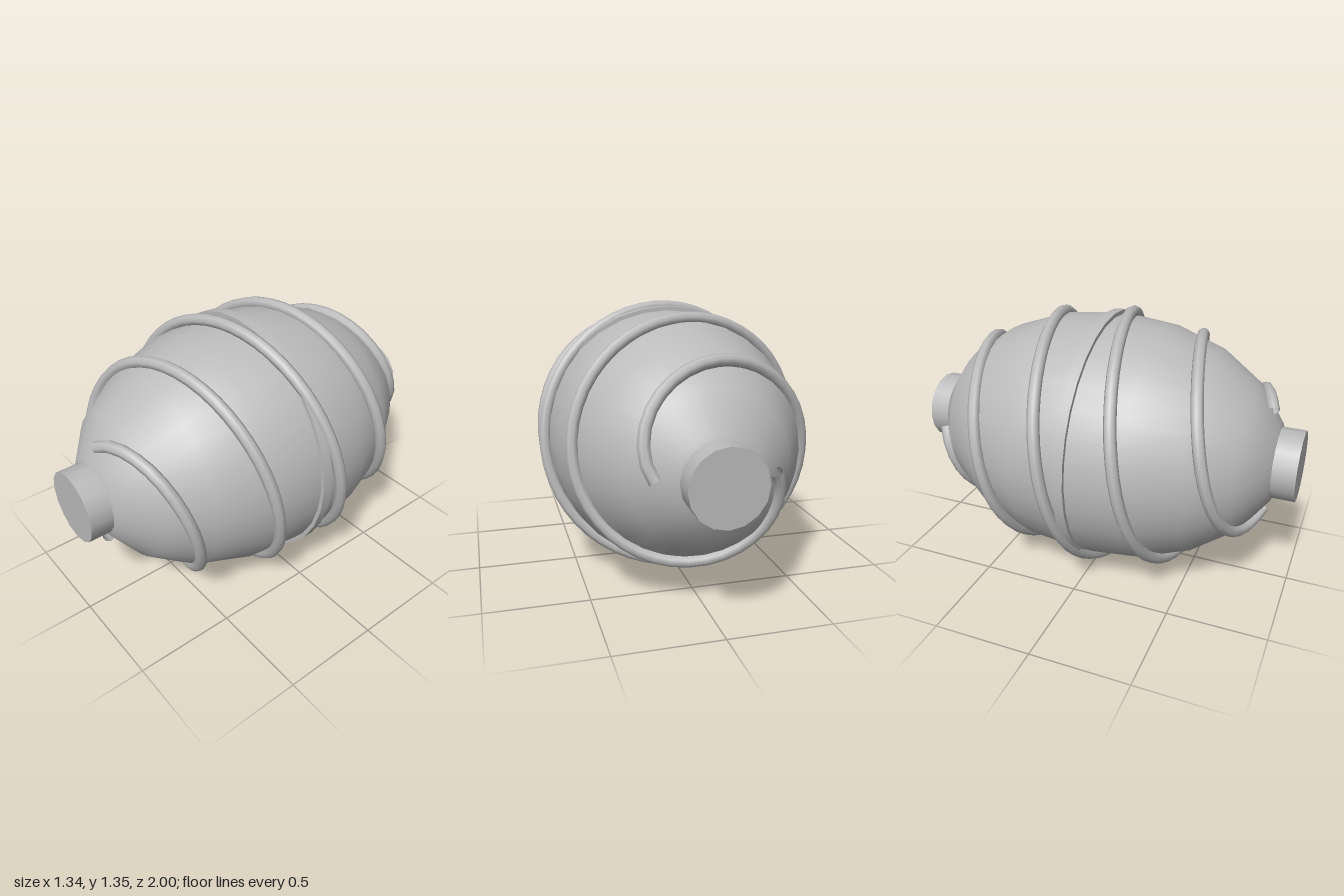
import * as THREE from 'three';

const CENTRE_Y = 0.677;

// Helix that follows an ellipsoid from the front end to the back end
class EllipsoidHelix extends THREE.Curve {
  constructor(phase) {
    super();
    this.phase = phase;
  }
  getPoint(t, target = new THREE.Vector3()) {
    const z = 0.84 - 1.68 * t;
    const r = 0.647 * Math.sqrt(1 - (z / 0.925) ** 2);
    const a = this.phase + t * 2.25 * Math.PI * 2;
    return target.set(r * Math.sin(a), r * Math.cos(a), z);
  }
}

export function createModel() {
  const group = new THREE.Group();
  const grey = new THREE.MeshStandardMaterial({ color: 0xbbbbbb, side: THREE.DoubleSide });
  grey.name = 'grey';

  const add = (name, geometry, z = 0) => {
    const mesh = new THREE.Mesh(geometry, grey);
    mesh.name = name;
    mesh.position.set(0, CENTRE_Y, z);
    group.add(mesh);
  };

  // Egg-shaped body, long axis along z
  const body = new THREE.SphereGeometry(1, 32, 10);
  body.rotateX(Math.PI / 2);
  body.scale(0.635, 0.635, 0.925);
  add('body', body);

  // Thin band around the middle
  add('middleBand', new THREE.CylinderGeometry(0.652, 0.652, 0.05, 32).rotateX(Math.PI / 2));

  // Short round stubs at both ends
  for (const [name, side] of [['frontStub', 1], ['backStub', -1]]) {
    add(name, new THREE.CylinderGeometry(0.178, 0.178, 0.2, 16).rotateX(Math.PI / 2), side * 0.9);
  }

  // Two intertwined open tubes wound around the body
  ['firstSpiral', 'secondSpiral'].forEach((name, i) => {
    add(name, new THREE.TubeGeometry(new EllipsoidHelix(i * Math.PI), 100, 0.03, 8, false));
  });

  return group;
}
